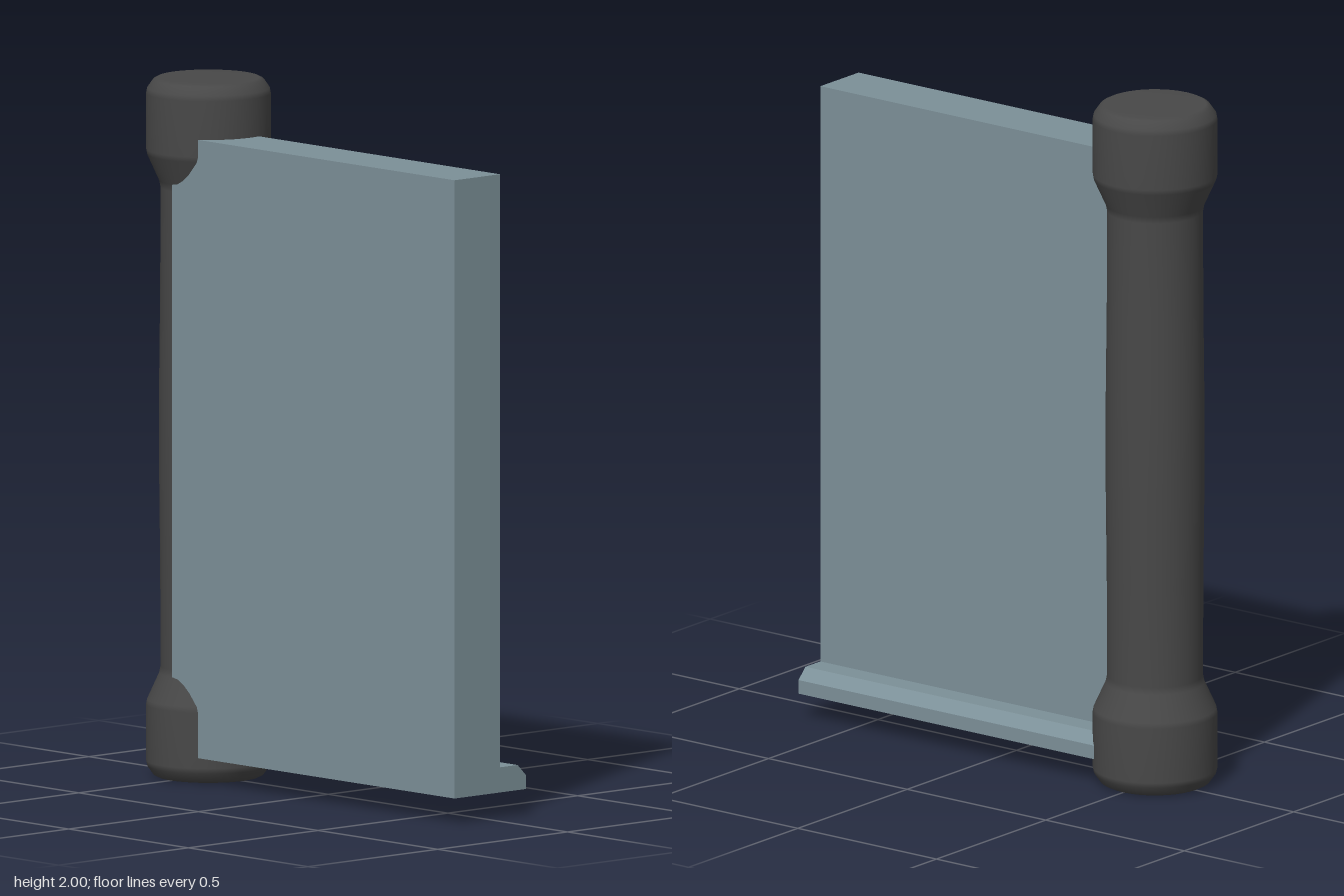
import * as THREE from 'three';

export function createModel() {
  const group = new THREE.Group();
  const dark = new THREE.MeshStandardMaterial({ color: 0x484848 });
  const slate = new THREE.MeshStandardMaterial({ color: 0x7c9098, side: THREE.DoubleSide });

  // Post: lathed bar with a wider, rounded-off knob at each end, mirrored about y = 1
  const half = [[0, 0], [0.145, 0], [0.157, 0.006], [0.174, 0.03], [0.177, 0.045],
    [0.177, 0.205], [0.174, 0.22], [0.14, 0.295], [0.136, 0.315], [0.137, 0.6], [0.14, 0.87]];
  const profile = [...half, ...half.map(([r, y]) => [r, 2 - y]).reverse()];
  const post = new THREE.Mesh(
    new THREE.LatheGeometry(profile.map(([r, y]) => new THREE.Vector2(r, y)), 40), dark);
  post.name = 'post';
  post.position.z = -0.5;
  group.add(post);

  // Panel with a chamfered ledge: one extruded L section, running into the post
  const section = new THREE.Shape([[-0.14, 0.075], [0.135, 0.075], [0.135, 0.115],
    [0.103, 0.147], [0.035, 0.147], [0.035, 1.845], [-0.14, 1.845]]
    .map(([x, y]) => new THREE.Vector2(x, y)));
  const solid = new THREE.ExtrudeGeometry(section, { depth: 1.18, bevelEnabled: false });
  solid.translate(0, 0, -0.5);

  // The underside is open: keep every triangle that does not face down
  const pos = solid.attributes.position, nor = solid.attributes.normal;
  const kept = [];
  for (let i = 0; i < pos.count; i += 3) {
    if (nor.getY(i) < -0.9) continue;
    for (let j = i; j < i + 3; j++) kept.push(pos.getX(j), pos.getY(j), pos.getZ(j));
  }
  const shell = new THREE.BufferGeometry();
  shell.setAttribute('position', new THREE.Float32BufferAttribute(kept, 3));
  shell.computeVertexNormals();
  const panel = new THREE.Mesh(shell, slate);
  panel.name = 'panelWithLedge';
  group.add(panel);

  return group;
}
